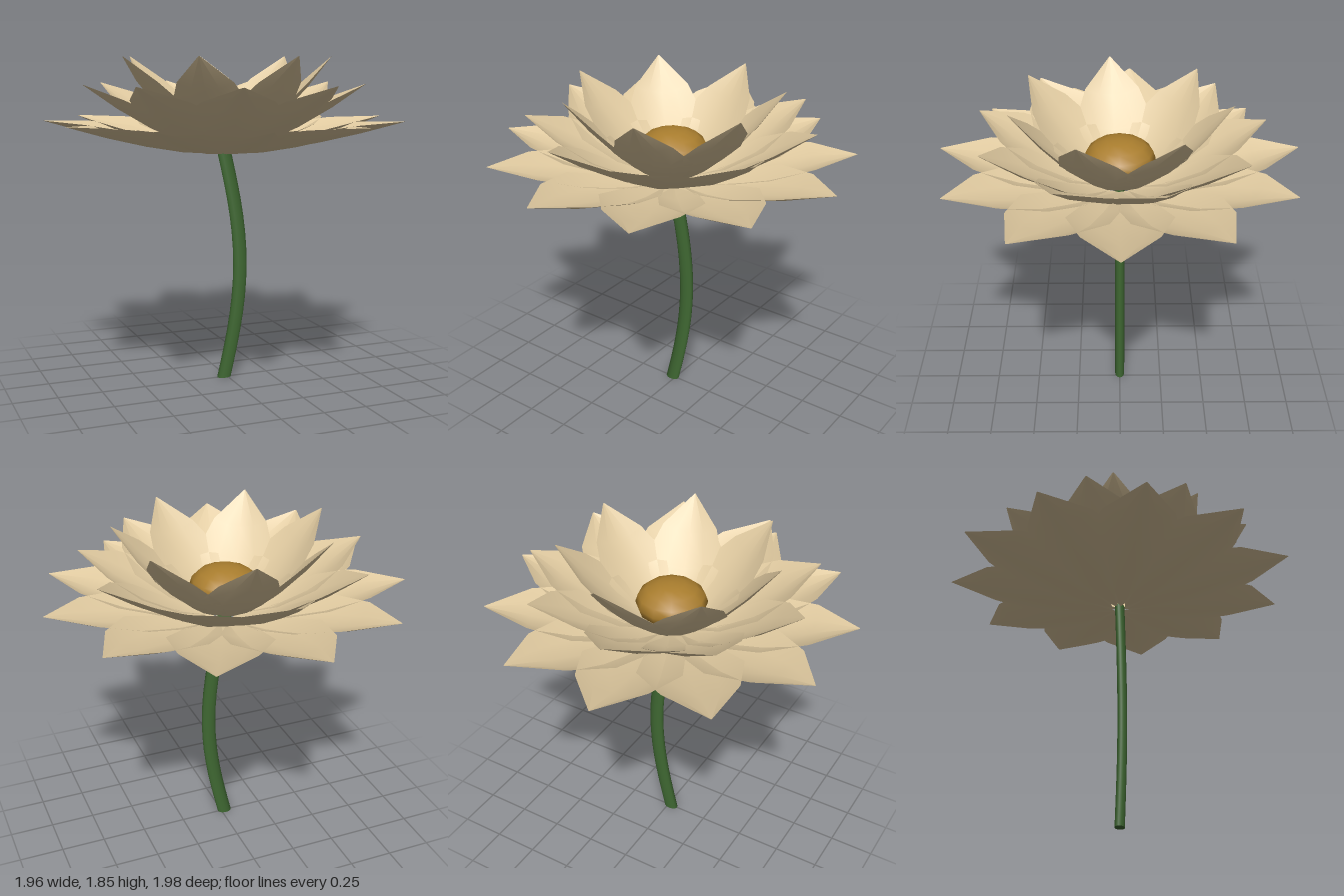
import * as THREE from 'three';

const petalMat = new THREE.MeshStandardMaterial({ color: 0xe0caa0, side: THREE.DoubleSide });
petalMat.name = 'cream petal';
const heartMat = new THREE.MeshStandardMaterial({ color: 0xaa7e2e });
heartMat.name = 'golden brown';
const stemMat = new THREE.MeshStandardMaterial({ color: 0x3f6832 });
stemMat.name = 'stem green';

const CENTRE_X = -0.02;

// A cupped petal along +x: it widens and narrows as a sine and curves upwards to its tip
function petalGeometry({ base, radius, tip, width }) {
  const geo = new THREE.PlaneGeometry(1, 1, 4, 4);
  const p = geo.attributes.position;
  for (let i = 0; i < p.count; i++) {
    const t = p.getX(i) + 0.5;
    const s = p.getY(i) * 2;
    const half = Math.max(width * Math.sin(Math.PI * t), 0.003);
    const y = base + (tip - base) * t ** 1.5 + 0.28 * half * s * s;
    p.setXYZ(i, 0.05 + (radius - 0.05) * t, y, -s * half);
  }
  geo.computeVertexNormals();
  return geo;
}

// A ring of equal petals, the first one turned by offset degrees
function petalRing(name, count, offset, shape) {
  const ring = new THREE.Group();
  ring.name = name;
  const geo = petalGeometry(shape);
  for (let i = 0; i < count; i++) {
    const petal = new THREE.Mesh(geo, petalMat);
    petal.name = 'petal';
    petal.rotation.y = -(THREE.MathUtils.degToRad(offset) + (i * 2 * Math.PI) / count);
    ring.add(petal);
  }
  ring.position.x = CENTRE_X;
  return ring;
}

export function createModel() {
  const model = new THREE.Group();
  model.name = 'flower';

  // Stem: an oval rod bowed towards +x
  const height = 1.33;
  const stemGeo = new THREE.CylinderGeometry(1, 1, height, 12, 14);
  stemGeo.scale(0.042, 1, 0.028);
  stemGeo.translate(0, height / 2, 0);
  const p = stemGeo.attributes.position;
  for (let i = 0; i < p.count; i++) {
    p.setX(i, p.getX(i) + CENTRE_X + 0.1 * Math.sin((Math.PI * p.getY(i)) / height));
  }
  const stem = new THREE.Mesh(stemGeo, stemMat);
  stem.name = 'stem';
  model.add(stem);

  // Three rings of petals, steeper towards the middle
  model.add(
    petalRing('outerPetals', 11, 0, { base: 1.31, radius: 1.0, tip: 1.5, width: 0.275 }),
    petalRing('middlePetals', 9, 24.6, { base: 1.33, radius: 0.79, tip: 1.7, width: 0.27 }),
    petalRing('innerPetals', 7, 20.6, { base: 1.35, radius: 0.6, tip: 1.85, width: 0.215 })
  );

  // Flattened round heart
  const heart = new THREE.Mesh(new THREE.SphereGeometry(0.195, 12, 8), heartMat);
  heart.name = 'heart';
  heart.scale.y = 0.6;
  heart.position.set(CENTRE_X, 1.51, 0);
  model.add(heart);

  return model;
}
